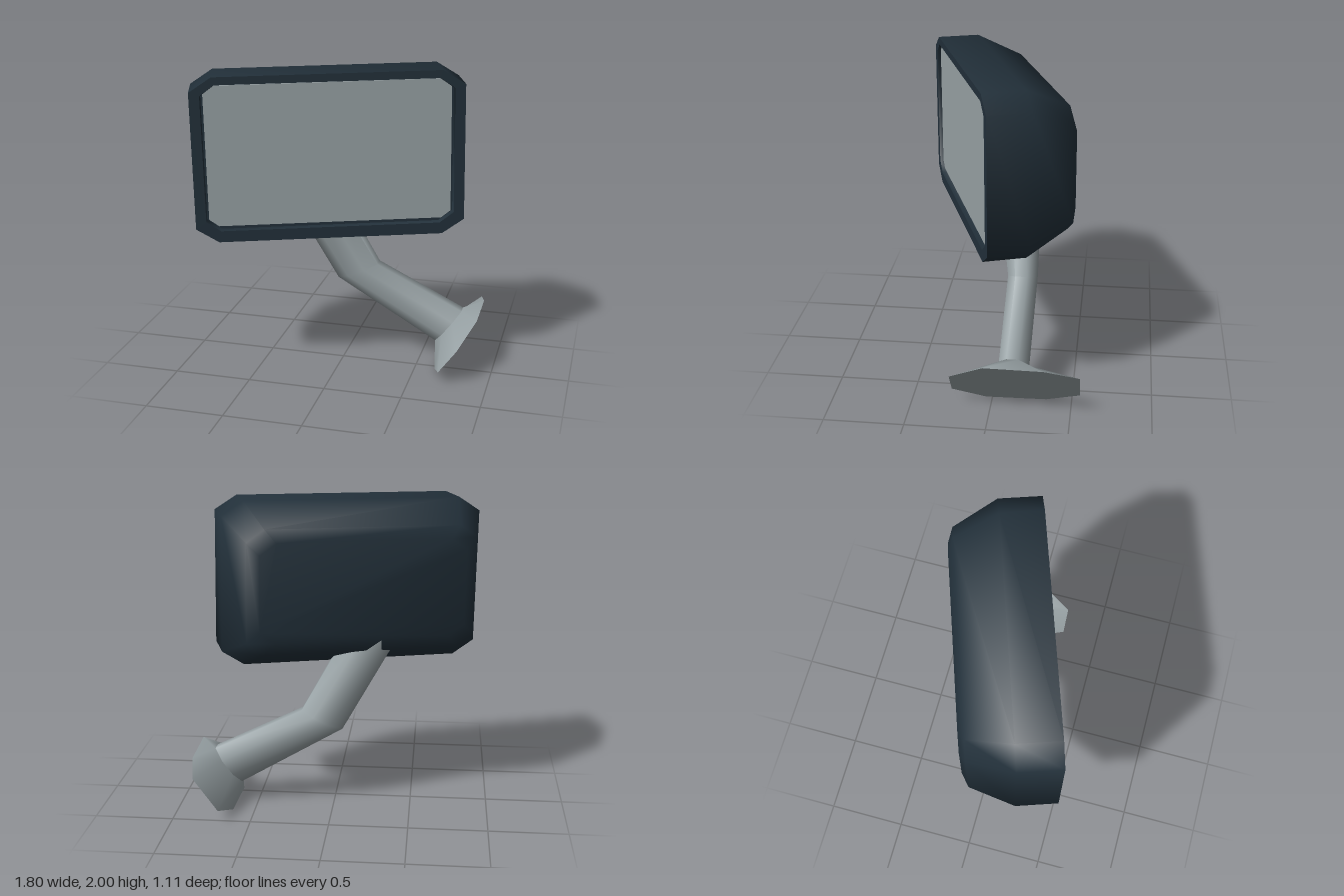
import * as THREE from 'three';
import { toCreasedNormals } from 'three/addons/utils/BufferGeometryUtils.js';

const housingPaint = new THREE.MeshStandardMaterial({ color: 0x22303a });
housingPaint.name = 'dark blue grey';
const metal = new THREE.MeshStandardMaterial({ color: 0x99a3a6 });
metal.name = 'light grey';

// Skin a series of equal-length rings and close both ends.
function loft(name, rings, material, crease = 1.13) {
  const pos = [];
  const tri = (...pts) => pts.forEach((p) => pos.push(p.x, p.y, p.z));
  const n = rings[0].length;
  for (let r = 0; r < rings.length - 1; r++) {
    const a = rings[r], b = rings[r + 1];
    for (let i = 0; i < n; i++) {
      const j = (i + 1) % n;
      tri(a[i], a[j], b[j]);
      tri(a[i], b[j], b[i]);
    }
  }
  const first = rings[0], last = rings[rings.length - 1];
  for (let i = 1; i < n - 1; i++) {
    tri(first[0], first[i + 1], first[i]);
    tri(last[0], last[i], last[i + 1]);
  }
  const geo = new THREE.BufferGeometry();
  geo.setAttribute('position', new THREE.Float32BufferAttribute(pos, 3));
  const mesh = new THREE.Mesh(toCreasedNormals(geo, crease), material);
  mesh.name = name;
  return mesh;
}

// Rectangle with cut corners, counter-clockwise seen from the front.
function cutRect(z, hw, hh, cu, cv, cy = 0) {
  return [
    [hw, -hh + cv], [hw, hh - cv], [hw - cu, hh], [-hw + cu, hh],
    [-hw, hh - cv], [-hw, -hh + cv], [-hw + cu, -hh], [hw - cu, -hh],
  ].map(([x, y]) => new THREE.Vector3(x, y + cy, z));
}

// Eight-sided tube section between a left and a right edge point.
function armRing([lx, ly], [rx, ry], z, halfDepth) {
  const k = 1 / Math.cos(Math.PI / 8);
  return Array.from({ length: 8 }, (_, i) => {
    const t = (i + 0.5) * Math.PI / 4;
    const c = Math.cos(t) * k / 2, s = Math.sin(t) * k;
    return new THREE.Vector3((lx + rx) / 2 + (rx - lx) * c, (ly + ry) / 2 + (ry - ly) * c, z + halfDepth * s);
  });
}

export function createModel() {
  const model = new THREE.Group();
  model.name = 'sideMirror';

  // Mirror head, turned and slightly rolled
  const head = new THREE.Group();
  head.name = 'mirrorHead';
  head.position.set(-0.015, 1.465, 0.283);
  head.rotation.set(0, 0.33, 0.017);
  head.add(loft('housing', [
    cutRect(-0.585, 0.655, 0.31, 0.1, 0.07),
    cutRect(-0.55, 0.73, 0.39, 0.11, 0.08),
    cutRect(-0.27, 0.84, 0.522, 0.14, 0.09),
    cutRect(0, 0.84, 0.522, 0.14, 0.09),
    cutRect(0, 0.775, 0.462, 0.09, 0.065, 0.012), // rim
    cutRect(-0.035, 0.77, 0.457, 0.09, 0.065, 0.012), // recess
  ], housingPaint));
  head.add(loft('mirrorGlass', [
    cutRect(-0.029, 0.757, 0.445, 0.06, 0.045, 0.022),
    cutRect(-0.02, 0.757, 0.445, 0.06, 0.045, 0.022),
  ], metal));
  model.add(head);

  // Bent arm
  const armEnd = armRing([0.605, 0.14], [0.775, 0.365], -0.14, 0.09);
  model.add(loft('arm', [
    armRing([-0.41, 1.15], [-0.08, 1.15], -0.09, 0.14),
    armRing([-0.06, 0.53], [0.205, 0.645], -0.138, 0.093),
    armEnd,
  ], metal));

  // Flared mounting foot, its outline given as z, y on a slanted plane
  const footOutline = [
    [0.03, 0.365], [0.25, 0.235], [0.25, 0.08], [0.04, 0],
    [-0.34, 0.01], [-0.555, 0.09], [-0.555, 0.3], [-0.34, 0.36],
  ].map(([z, y]) => new THREE.Vector3(0.63 + 0.73 * y, y, z));
  model.add(loft('mountingFoot', [armEnd, footOutline], metal));

  return model;
}
